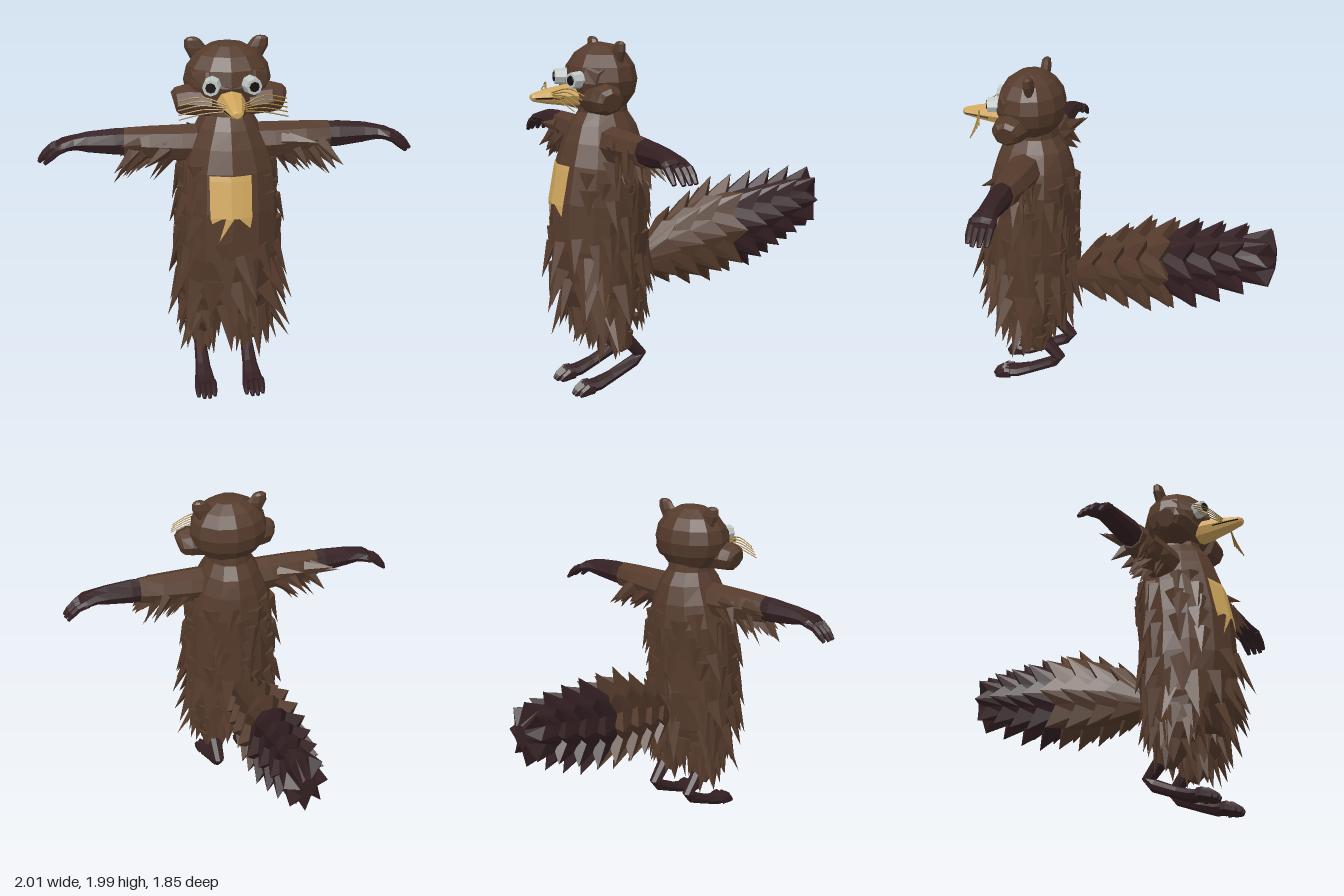
import * as THREE from 'three';
import { mergeGeometries } from 'three/addons/utils/BufferGeometryUtils.js';

const V = (x, y, z) => new THREE.Vector3(x, y, z);
const mat = (name, color) => Object.assign(new THREE.MeshStandardMaterial({ color }), { name });

// Small seeded random generator
let seed = 7;
const rnd = (a = 0, b = 1) => {
  seed = (seed * 16807) % 2147483647;
  return a + (b - a) * seed / 2147483647;
};

// Split a geometry into flat facets
function flat(g) {
  const f = g.index ? g.toNonIndexed() : g;
  f.deleteAttribute('uv');
  f.computeVertexNormals();
  return f;
}

// Skin a list of point rings and close both ends
function loft(rings) {
  const p = [], n = rings[0].length;
  const mid = r => r.reduce((s, q) => s.add(q), V(0, 0, 0)).divideScalar(n);
  const tri = (...t) => t.forEach(q => p.push(q.x, q.y, q.z));
  const last = rings[rings.length - 1], m0 = mid(rings[0]), m1 = mid(last);
  for (let j = 0; j < n; j++) {
    const k = (j + 1) % n;
    for (let i = 0; i < rings.length - 1; i++) {
      const a = rings[i], b = rings[i + 1];
      tri(a[j], a[k], b[k]);
      tri(a[j], b[k], b[j]);
    }
    tri(m0, rings[0][k], rings[0][j]);
    tri(m1, last[j], last[k]);
  }
  const g = new THREE.BufferGeometry();
  g.setAttribute('position', new THREE.Float32BufferAttribute(p, 3));
  return flat(g);
}

// Elliptical limb along points [x, y, z, depth, width]; side is the width direction
function limb(pts, side, n = 8) {
  const c = pts.map(q => V(q[0], q[1], q[2]));
  return loft(pts.map((q, i) => {
    const t = c[Math.min(i + 1, c.length - 1)].clone().sub(c[Math.max(i - 1, 0)]);
    const u = side.clone().cross(t).normalize();
    return Array.from({ length: n }, (_, j) => {
      const a = j / n * Math.PI * 2;
      return c[i].clone().addScaledVector(u, q[3] * Math.cos(a)).addScaledVector(side, q[4] * Math.sin(a));
    });
  }));
}

// Mirror across x, keeping the faces outward
function mirror(g) {
  const m = g.clone().scale(-1, 1, 1), a = m.attributes.position;
  for (let i = 0; i < a.count; i += 3) {
    const p = V().fromBufferAttribute(a, i + 1), q = V().fromBufferAttribute(a, i + 2);
    a.setXYZ(i + 1, q.x, q.y, q.z);
    a.setXYZ(i + 2, p.x, p.y, p.z);
  }
  return flat(m);
}

// Flattened tuft of fur
function tuft(base, dir, out, len, w) {
  const d = dir.clone().normalize(), x = d.clone().cross(out).normalize(), z = x.clone().cross(d);
  const g = new THREE.ConeGeometry(w, len, 4).scale(1, 1, 0.5).translate(0, len * 0.45, 0);
  return flat(g.applyMatrix4(new THREE.Matrix4().makeBasis(x, d, z).setPosition(base)));
}

export function createModel() {
  seed = 7;
  const group = new THREE.Group();
  const brown = mat('brownFur', 0x553b2c), dark = mat('darkFur', 0x342023);
  const gold = mat('goldFur', 0xd0a75e), whiskerTan = mat('whiskerTan', 0xa5803f);
  const white = mat('eyeWhite', 0xc0c8c6), black = mat('black', 0x15100f);
  const X = V(1, 0, 0), Z = V(0, 0, 1);
  const add = (name, g, m) => {
    const mesh = new THREE.Mesh(g, m);
    mesh.name = name;
    group.add(mesh);
  };
  const pair = (name, g, m) => {
    add(name + 'Left', g, m);
    add(name + 'Right', mirror(g), m);
  };

  // Torso: height, half width, half depth, centre z
  const rows = [[0.46, 0.22, 0.18, 0.53], [0.62, 0.27, 0.24, 0.54], [0.85, 0.28, 0.275, 0.545], [1.1, 0.275, 0.27, 0.54],
    [1.3, 0.262, 0.255, 0.515], [1.43, 0.22, 0.225, 0.505], [1.53, 0.17, 0.19, 0.5], [1.6, 0.13, 0.14, 0.5], [1.68, 0.12, 0.13, 0.5]];
  add('torso', limb(rows.map(r => [0, r[0], r[3], r[2], r[1]]), X, 12), brown);
  const section = y => {
    let i = 0;
    while (i < rows.length - 2 && rows[i + 1][0] < y) i++;
    const t = (y - rows[i][0]) / (rows[i + 1][0] - rows[i][0]);
    return rows[i].map((v, k) => v + (rows[i + 1][k] - v) * t);
  };

  // Torso fur, hanging downward and growing shaggier at the bottom
  const fur = [];
  for (let y = 1.34; y > 0.5; y -= 0.1) {
    for (let j = 0; j < 12; j++) {
      const a = (j + rnd(0, 0.9)) / 12 * Math.PI * 2, yy = y + rnd(-0.05, 0.05);
      const [, hx, hz, cz] = section(yy);
      const out = V(Math.sin(a), 0, Math.cos(a));
      const base = V(hx * out.x * 0.97, yy, cz + hz * out.z * 0.97);
      if (out.z > 0.3 && Math.abs(base.x) < 0.16 && yy > 0.96) continue;
      const low = yy < 0.9 ? 1 : 0;
      const flare = rnd(0.08, 0.2) + low * rnd(0, out.z < -0.3 ? 0.1 : 0.32);
      const dir = out.clone().multiplyScalar(flare).add(V(rnd(-0.25, 0.25), -1, 0));
      fur.push(tuft(base, dir, out, rnd(0.13, 0.21) + 0.06 * low, rnd(0.04, 0.065) + 0.015 * low));
    }
  }
  add('torsoFur', mergeGeometries(fur), brown);

  // Chest patch following the torso front, with hanging strands
  const patch = new THREE.PlaneGeometry(0.22, 0.22, 4, 8).translate(-0.01, 1.21, 0);
  const strand = (x0, x1, xt, y0, yt) => new THREE.ShapeGeometry(new THREE.Shape(
    [[x0, y0], [xt, yt], [x1, y0]].map(q => new THREE.Vector2(...q))));
  const chest = mergeGeometries([patch, strand(-0.04, 0, -0.075, 1.1, 0.97), strand(0.03, 0.1, 0.09, 1.1, 1.04),
    strand(-0.12, -0.06, -0.11, 1.1, 1.07)].map(flat));
  const cp = chest.attributes.position;
  for (let i = 0; i < cp.count; i++) {
    const x = cp.getX(i), [, hx, hz, cz] = section(cp.getY(i));
    cp.setZ(i, cz + hz * (1 - 0.268 * Math.abs(x) / hx) + 0.012);
  }
  add('chestPatch', flat(chest), gold);

  // Head, face mass behind the eyes, cheeks and ears
  add('head', flat(new THREE.SphereGeometry(1, 12, 8).scale(0.232, 0.2, 0.195).translate(0, 1.78, 0.51)), brown);
  add('face', limb([[-0.19, 1.77, 0.58, 0.08, 0.05], [-0.13, 1.775, 0.6, 0.11, 0.085], [0, 1.77, 0.605, 0.12, 0.1],
    [0.13, 1.775, 0.6, 0.11, 0.085], [0.19, 1.77, 0.58, 0.08, 0.05]], Z, 8), brown);
  pair('cheek', limb([[0.1, 1.68, 0.58, 0.085, 0.11], [0.22, 1.69, 0.58, 0.085, 0.1], [0.27, 1.685, 0.58, 0.073, 0.08],
    [0.288, 1.68, 0.58, 0.055, 0.055]], Z, 8), brown);
  pair('ear', limb([[0.14, 1.87, 0.475, 0.025, 0.045], [0.163, 1.94, 0.475, 0.03, 0.058], [0.178, 1.98, 0.475, 0.025, 0.042],
    [0.18, 1.992, 0.475, 0.014, 0.025]], X, 8), brown);

  // Eyes, turned slightly outward
  const disc = (r, d, z) => flat(new THREE.CylinderGeometry(r, r * 1.12, d, 8).rotateX(Math.PI / 2)
    .translate(0, 0, z).rotateY(0.25).translate(0.1, 1.79, 0.69));
  pair('eyeball', disc(0.043, 0.07, 0.015), white);
  pair('pupil', disc(0.025, 0.008, 0.053), black);

  // Muzzle, mouth lines and whiskers
  add('muzzle', limb([[0, 1.7, 0.64, 0.065, 0.08], [0, 1.7, 0.72, 0.06, 0.068], [0, 1.7, 0.83, 0.043, 0.05],
    [0, 1.698, 0.91, 0.024, 0.033], [0, 1.698, 0.925, 0.014, 0.02]], X, 8), gold);
  pair('mouthLine', limb([[0.06, 1.688, 0.76, 0.004, 0.006], [0.047, 1.692, 0.83, 0.004, 0.006],
    [0.03, 1.695, 0.91, 0.004, 0.006]], X, 4), black);
  const whiskers = [];
  for (let i = 0; i < 5; i++) {
    const y = 1.645 + i * 0.02;
    const curve = new THREE.CatmullRomCurve3([V(0.04, 1.69 + i * 0.008, 0.82), V(0.16, y + 0.03, 0.8 - i * 0.007),
      V(0.28, y, 0.79 - i * 0.014)]);
    whiskers.push(flat(new THREE.TubeGeometry(curve, 6, 0.0035, 4)));
  }
  pair('whiskers', mergeGeometries(whiskers), whiskerTan);

  // Arms with long fur hanging below the sleeves
  pair('upperArm', limb([[0.1, 1.43, 0.515, 0.105, 0.1], [0.25, 1.432, 0.515, 0.102, 0.1], [0.42, 1.442, 0.515, 0.09, 0.09],
    [0.55, 1.447, 0.515, 0.08, 0.07]], Z, 8), brown);
  for (const s of [1, -1]) {
    const sleeve = [];
    for (let i = 0; i < 26; i++) {
      const a = rnd(-1.9, 1.9), out = V(0, -Math.cos(a), Math.sin(a));
      const base = V(s * rnd(0.27, 0.52), 1.44 + out.y * 0.08, 0.515 + out.z * 0.08);
      const dir = out.clone().multiplyScalar(rnd(0.15, 0.4)).add(V(s * rnd(0.4, 0.8), out.y > 0 ? 0 : -0.45, 0));
      sleeve.push(tuft(base, dir, out, rnd(0.11, 0.19), rnd(0.035, 0.05)));
    }
    add(s > 0 ? 'sleeveFurLeft' : 'sleeveFurRight', mergeGeometries(sleeve), brown);
  }
  pair('forearm', limb([[0.5, 1.45, 0.515, 0.075, 0.06], [0.6, 1.452, 0.515, 0.073, 0.065], [0.74, 1.455, 0.515, 0.058, 0.058],
    [0.81, 1.455, 0.515, 0.042, 0.06], [0.87, 1.445, 0.515, 0.032, 0.078], [0.9, 1.435, 0.515, 0.022, 0.07]], Z, 8), dark);

  // Curled fingers
  const fingers = [];
  for (let i = 0; i < 4; i++) {
    const z = 0.459 + i * 0.037, k = i === 3 ? 0.03 : i === 0 ? 0.01 : 0;
    fingers.push(limb([[0.86, 1.443, z, 0.022, 0.02], [0.93 - k, 1.425, z, 0.021, 0.02], [0.965 - k, 1.395, z, 0.02, 0.019],
      [0.998 - k, 1.36, z, 0.01, 0.012]], Z, 6));
  }
  pair('fingers', mergeGeometries(fingers), dark);

  // Furry thighs, tapering to the shins
  pair('thigh', limb([[0.135, 0.25, 0.45, 0.055, 0.055], [0.135, 0.34, 0.5, 0.095, 0.08], [0.14, 0.45, 0.53, 0.15, 0.11],
    [0.14, 0.6, 0.53, 0.19, 0.12]], X, 8), brown);
  for (const s of [1, -1]) {
    const tufts = [];
    for (const [y, rx, rz, cz] of [[0.52, 0.11, 0.17, 0.53], [0.44, 0.1, 0.14, 0.53], [0.35, 0.075, 0.09, 0.51]]) {
      for (let j = 0; j < 8; j++) {
        const a = (j + rnd(0, 0.8)) / 8 * Math.PI * 2, out = V(Math.sin(a), 0, Math.cos(a));
        const dir = out.clone().multiplyScalar(rnd(0, out.x * s < -0.5 ? 0.1 : 0.4)).add(V(0, -1, 0.05));
        tufts.push(tuft(V(s * 0.14 + out.x * rx, y, cz + out.z * rz), dir, out, rnd(0.1, 0.19), rnd(0.035, 0.055)));
      }
    }
    add(s > 0 ? 'thighFurLeft' : 'thighFurRight', mergeGeometries(tufts), brown);
  }

  // Shins, long feet and toes
  pair('shin', limb([[0.135, 0.34, 0.48, 0.045, 0.045], [0.135, 0.26, 0.41, 0.038, 0.042], [0.135, 0.19, 0.35, 0.038, 0.036],
    [0.135, 0.15, 0.39, 0.036, 0.035], [0.135, 0.085, 0.53, 0.032, 0.042], [0.135, 0.052, 0.62, 0.036, 0.055],
    [0.135, 0.043, 0.69, 0.036, 0.058]], X, 8), dark);
  const toes = [];
  for (let i = 0; i < 4; i++) {
    const x = 0.09 + i * 0.03, k = i === 0 || i === 3 ? 0.02 : 0;
    toes.push(limb([[x, 0.045, 0.66, 0.033, 0.017], [x, 0.045, 0.71 - k, 0.034, 0.018], [x, 0.026, 0.75 - k, 0.024, 0.016],
      [x, 0.014, 0.77 - k, 0.011, 0.009]], X, 6));
  }
  pair('toes', mergeGeometries(toes), dark);

  // Bushy tail of spiky tiers: centre height, half height, half width
  const tiers = [[0.775, 0.235, 0.15], [0.8, 0.29, 0.18], [0.835, 0.325, 0.2], [0.855, 0.305, 0.21],
    [0.87, 0.3, 0.2], [0.9, 0.27, 0.175], [0.935, 0.235, 0.155], [0.96, 0.19, 0.125]];
  tiers.forEach(([y, h, w], i) => {
    const z = 0.08 - i * 0.138, prev = tiers[Math.max(i - 1, 0)];
    const ring = (f, cy, hh, ww) => Array.from({ length: 16 }, (_, j) => {
      const a = j / 16 * Math.PI * 2, [r, zz] = f(j % 2);
      return V(Math.sin(a) * ww * r, cy + Math.cos(a) * hh * r, zz);
    });
    const rings = [
      ring(() => [i ? 0.58 : 0.3, z + 0.19], i ? prev[0] : 0.715, prev[1], prev[2]),
      ring(odd => (odd ? [0.74, z + 0.07] : [1, z]), y, h, w)];
    if (i === tiers.length - 1) rings.push(ring(() => [0.35, -0.92], y, h, w));
    add('tailTier' + (i + 1), loft(rings), i < 4 ? brown : dark);
  });
  return group;
}
